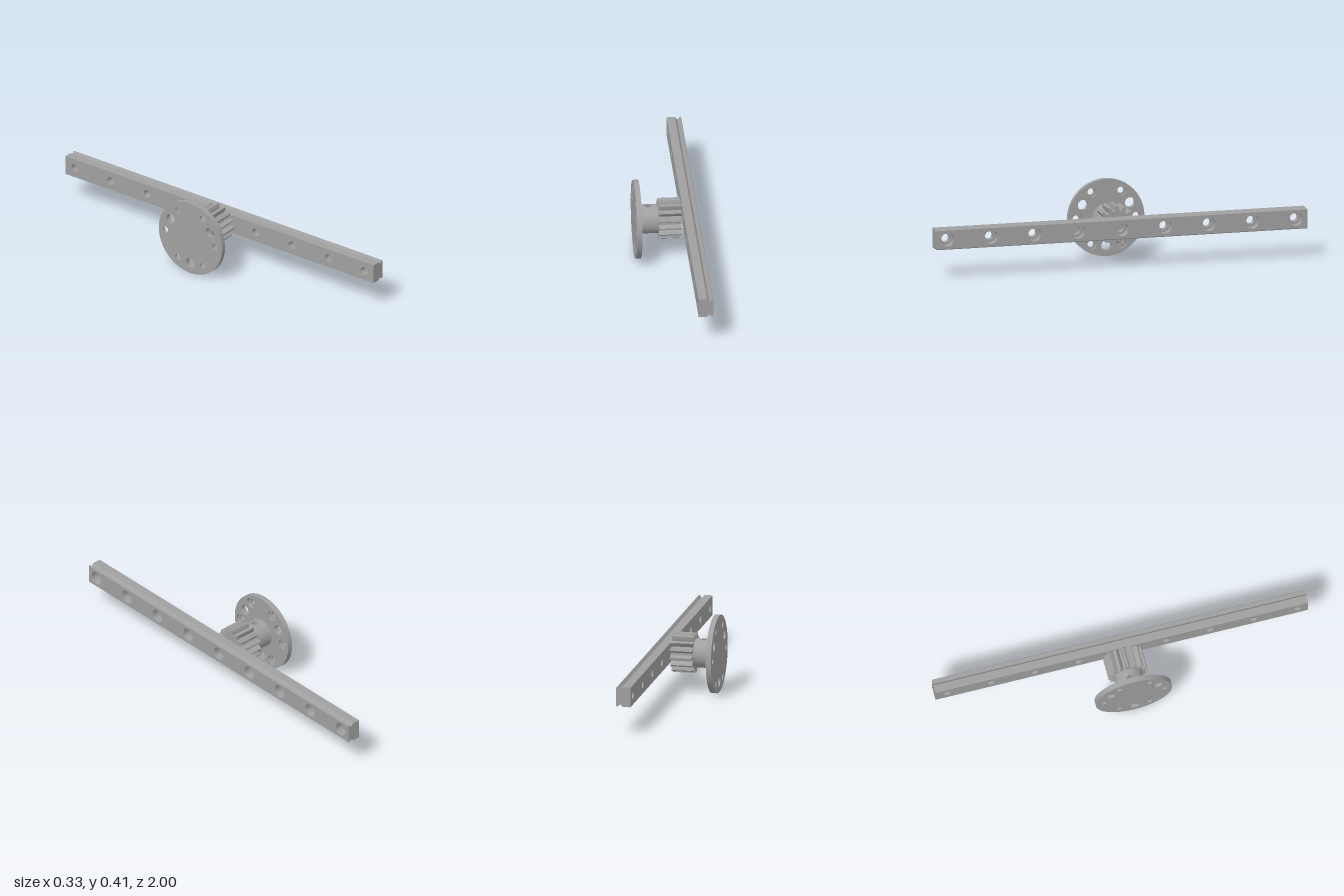
import * as THREE from 'three';
import { toCreasedNormals } from 'three/addons/utils/BufferGeometryUtils.js';

const AXIS_Y = 0.206;
const steel = new THREE.MeshStandardMaterial({ color: 0xa0a0a0, side: THREE.DoubleSide });
steel.name = 'steel grey';

function add(parent, name, geometry) {
  const mesh = new THREE.Mesh(geometry, steel);
  mesh.name = name;
  parent.add(mesh);
  return mesh;
}

// Grid whose vertices are placed by a rule of (u, v)
function surface(nu, nv, rule, crease = 0.5) {
  const g = new THREE.PlaneGeometry(1, 1, nu, nv);
  const p = g.attributes.position, uv = g.attributes.uv;
  for (let i = 0; i < p.count; i++) p.setXYZ(i, ...rule(uv.getX(i), uv.getY(i)));
  return toCreasedNormals(g, crease);
}

// Shape extruded along x, from x0 to x1
function extrudeX(shape, x0, x1) {
  const g = new THREE.ExtrudeGeometry(shape, { depth: x1 - x0, bevelEnabled: false, curveSegments: 32 });
  g.rotateY(Math.PI / 2).translate(x0, 0, 0);
  return toCreasedNormals(g, 0.5);
}

function circleHole(shape, x, y, r) {
  shape.holes.push(new THREE.Path().absarc(x, y, r, 0, Math.PI * 2, true));
}

// Guide rail with V grooves and a row of counterbored holes
function createRail() {
  const rail = new THREE.Group();
  rail.name = 'rail';
  rail.position.y = AXIS_Y;
  const xBack = 0.088, xFront = 0.164, xStep = 0.122, half = 0.0525;
  const bigR = 0.036, smallR = 0.022;
  const profile = [[xBack, half], [0.131, half], [0.143, 0.039], [0.147, 0.039],
    [0.157, half], [0.161, half], [xFront, 0.049]];
  const n = profile.length - 1;

  // Grooved top and bottom
  const grooved = () => surface(n, 1, (u, v) => {
    const [x, y] = profile[Math.round(u * n)];
    return [x, y, 1 - 2 * v];
  }, 0.1);
  add(rail, 'railTop', grooved());
  add(rail, 'railBottom', grooved().rotateX(Math.PI));

  // End caps
  const outline = [...profile, ...profile.map(([x, y]) => [x, -y]).reverse()];
  const endShape = new THREE.Shape(outline.map(([x, y]) => new THREE.Vector2(x, y)));
  add(rail, 'railFrontEnd', new THREE.ShapeGeometry(endShape).translate(0, 0, 1));
  const backEnd = new THREE.Shape(outline.map(([x, y]) => new THREE.Vector2(-x, y)));
  add(rail, 'railBackEnd', new THREE.ShapeGeometry(backEnd).rotateY(Math.PI).translate(0, 0, -1));

  // Pierced long faces
  const holeZ = Array.from({ length: 9 }, (_, i) => -0.94 + i * 0.235);
  const face = (h, r) => {
    const s = new THREE.Shape([[-1, -h], [1, -h], [1, h], [-1, h]].map(([x, y]) => new THREE.Vector2(x, y)));
    holeZ.forEach(z => circleHole(s, z, 0, r));
    return new THREE.ShapeGeometry(s, 12);
  };
  add(rail, 'railOuterFace', face(0.049, bigR).rotateY(Math.PI / 2).translate(xFront, 0, 0));
  add(rail, 'railInnerFace', face(half, smallR).rotateY(-Math.PI / 2).translate(xBack, 0, 0));

  // Stepped bores
  const steps = [[bigR, xFront], [bigR, xStep], [smallR, xStep], [smallR, xBack]];
  const bore = surface(24, 3, (u, v) => {
    const [r, x] = steps[Math.round((1 - v) * 3)];
    const a = u * Math.PI * 2;
    return [x, r * Math.cos(a), -r * Math.sin(a)];
  });
  holeZ.forEach(z => { add(rail, 'railBore', bore).position.z = z; });
  return rail;
}

// Pinion with hub and bolt flange
function createPinion() {
  const pinion = new THREE.Group();
  pinion.name = 'pinion';
  pinion.position.y = AXIS_Y;

  // Flange in two layers so the bolt holes are counterbored
  const flangeShape = boltR => {
    const s = new THREE.Shape().absarc(0, 0, 0.205, 0, Math.PI * 2, false);
    for (let i = 0; i < 6; i++) {
      const a = i * Math.PI / 3;
      circleHole(s, 0.161 * Math.cos(a), 0.161 * Math.sin(a), boltR);
    }
    for (let i = 0; i < 3; i++) {
      const a = Math.PI / 6 + i * Math.PI * 2 / 3;
      circleHole(s, 0.147 * Math.cos(a), 0.147 * Math.sin(a), 0.027);
    }
    return s;
  };
  add(pinion, 'flangeBack', extrudeX(flangeShape(0.017), -0.166, -0.152));
  add(pinion, 'flangeFront', extrudeX(flangeShape(0.028), -0.152, -0.138));

  // Hub, open at the top where the set screw panel fits
  const hubR = 0.076, x0 = -0.138, x1 = -0.042, gap = 0.3;
  add(pinion, 'hub', surface(40, 1, (u, v) => {
    const a = gap + u * 2 * (Math.PI - gap);
    return [x0 + v * (x1 - x0), hubR * Math.cos(a), hubR * Math.sin(a)];
  }));

  // Curved panel with a blind set screw hole
  const clamp = t => THREE.MathUtils.clamp(t * Math.SQRT2, -1, 1);
  const screwR = 0.016;
  add(pinion, 'setScrewHole', surface(32, 6, (u, v) => {
    const row = Math.round(v * 6), t = u * Math.PI * 2;
    const c = Math.cos(t), s = Math.sin(t), mid = (x0 + x1) / 2;
    if (row === 0) return [mid, 0.03, 0];
    if (row === 1) return [mid + screwR * c, 0.03, screwR * s];
    const k = (row - 2) / 4;
    const x = THREE.MathUtils.lerp(screwR * c, clamp(c) * (x1 - x0) / 2, k);
    const a = THREE.MathUtils.lerp(screwR / hubR * s, clamp(s) * gap, k);
    return [mid + x, hubR * Math.cos(a), hubR * Math.sin(a)];
  }));

  // Toothed gear
  const teeth = 15, pitch = Math.PI * 2 / teeth, points = [];
  const tooth = [[-0.33, 0.079], [-0.25, 0.093], [-0.11, 0.106], [0.11, 0.106], [0.25, 0.093], [0.33, 0.079]];
  for (let i = 0; i < teeth; i++) {
    for (const [k, r] of tooth) {
      const a = Math.PI / 2 + (i + k) * pitch;
      points.push(new THREE.Vector2(r * Math.cos(a), r * Math.sin(a)));
    }
  }
  add(pinion, 'gear', extrudeX(new THREE.Shape(points), x1, 0.075));
  return pinion;
}

export function createModel() {
  const model = new THREE.Group();
  model.name = 'rackAndPinion';
  model.add(createRail(), createPinion());
  return model;
}
